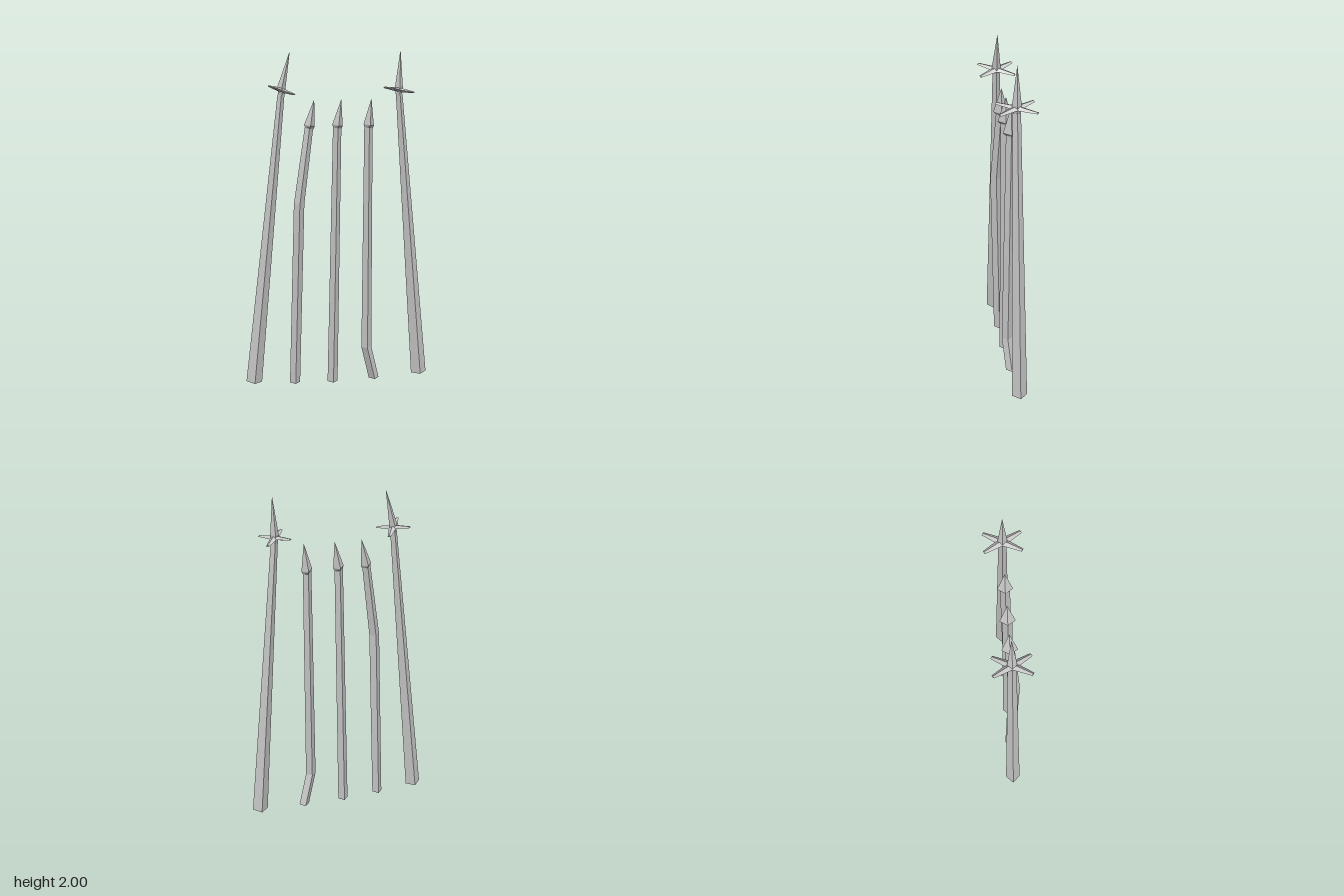
import * as THREE from 'three';

const material = new THREE.MeshStandardMaterial({ color: 0xcccccc, flatShading: true });

// Four-sided loft; each ring is [x, y, z, halfX, halfZ], lean tilts the rings
function loft(rings, lean = 0) {
  const pos = [], index = [], n = 4;
  for (const [x, y, z, rx, rz] of rings) {
    for (let i = 0; i < n; i++) {
      const c = Math.round(Math.cos(i * Math.PI / 2)), s = Math.round(Math.sin(i * Math.PI / 2));
      pos.push(x + c * rx, y - c * rx * lean, z + s * rz);
    }
  }
  for (let j = 0; j < rings.length - 1; j++) {
    for (let i = 0; i < n; i++) {
      const a = j * n + i, b = j * n + (i + 1) % n;
      index.push(a, a + n, b, b, a + n, b + n);
    }
  }
  const t = (rings.length - 1) * n;
  index.push(0, 1, 2, 0, 2, 3, t, t + 2, t + 1, t, t + 3, t + 2);
  const g = new THREE.BufferGeometry();
  g.setAttribute('position', new THREE.Float32BufferAttribute(pos, 3));
  g.setIndex(index);
  const flat = g.toNonIndexed();
  flat.computeVertexNormals();
  return flat;
}

function add(parent, name, geometry) {
  const mesh = new THREE.Mesh(geometry, material);
  mesh.name = name;
  parent.add(mesh);
  return mesh;
}

// Tall tapered post with a spike and a four-armed crossguard
function tallPost(name, foot, neck, tip, lean, tilt) {
  const post = new THREE.Group();
  post.name = name;
  const [nx, ny] = neck;
  add(post, 'shaft', loft([
    [foot, 0.03, 0, 0.047, 0.046],
    [nx - (nx - foot) * 0.015, ny - 0.025, 0, 0.02, 0.022],
  ], lean));
  add(post, 'spike', loft([
    [nx, ny - 0.028, 0, 0.018, 0.02],
    [nx, ny + 0.015, 0, 0.024, 0.026],
    [tip[0], tip[1], 0, 0.0005, 0.0005],
  ], lean));

  const guard = new THREE.Group();
  guard.name = 'crossguard';
  guard.position.set(nx, ny, 0);
  guard.rotation.z = -tilt;
  for (const side of [-1, 1]) {
    const arms = loft([
      [0, -0.119, 0, 0.011, 0.005],
      [0, 0, 0, 0.026, 0.013],
      [0, 0.119, 0, 0.011, 0.005],
    ]);
    arms.rotateX(Math.PI / 2);
    arms.rotateY(side * 0.56);
    add(guard, 'crossArms', arms);
  }
  post.add(guard);
  return post;
}

// Short stake, optionally bent, with an arrow-shaped head
function shortStake(name, path, tip) {
  const stake = new THREE.Group();
  stake.name = name;
  const last = path.length - 1;
  add(stake, 'shaft', loft(path.map(([x, y, z], i) => {
    const r = i === last ? 0.025 : 0.031;
    return [x, y, z, r, r + 0.002];
  })));
  const [x, y, z] = path[last];
  add(stake, 'head', loft([
    [x, y - 0.012, z, 0.024, 0.026],
    [x + 0.002, y + 0.006, z, 0.031, 0.044],
    [tip[0], tip[1], 0, 0.0005, 0.0005],
  ], 0.2));
  return stake;
}

export function createModel() {
  const model = new THREE.Group();
  model.name = 'spikedPosts';
  model.add(
    tallPost('rightTallPost', -0.513, [-0.33, 1.77], [-0.28, 1.99], 0.1, 0.34),
    tallPost('leftTallPost', 0.51, [0.365, 1.77], [0.372, 2.0], -0.07, 0.2),
    shortStake('rightStake', [[-0.265, 0.01, 0], [-0.235, 1.11, 0.022], [-0.17, 1.56, 0]], [-0.14, 1.715]),
    shortStake('middleStake', [[-0.033, 0.003, 0], [-0.004, 1.56, 0]], [0.02, 1.715]),
    shortStake('leftStake', [[0.225, 0.01, 0], [0.174, 0.215, 0.018], [0.183, 1.56, 0]], [0.2, 1.72]),
  );
  return model;
}
